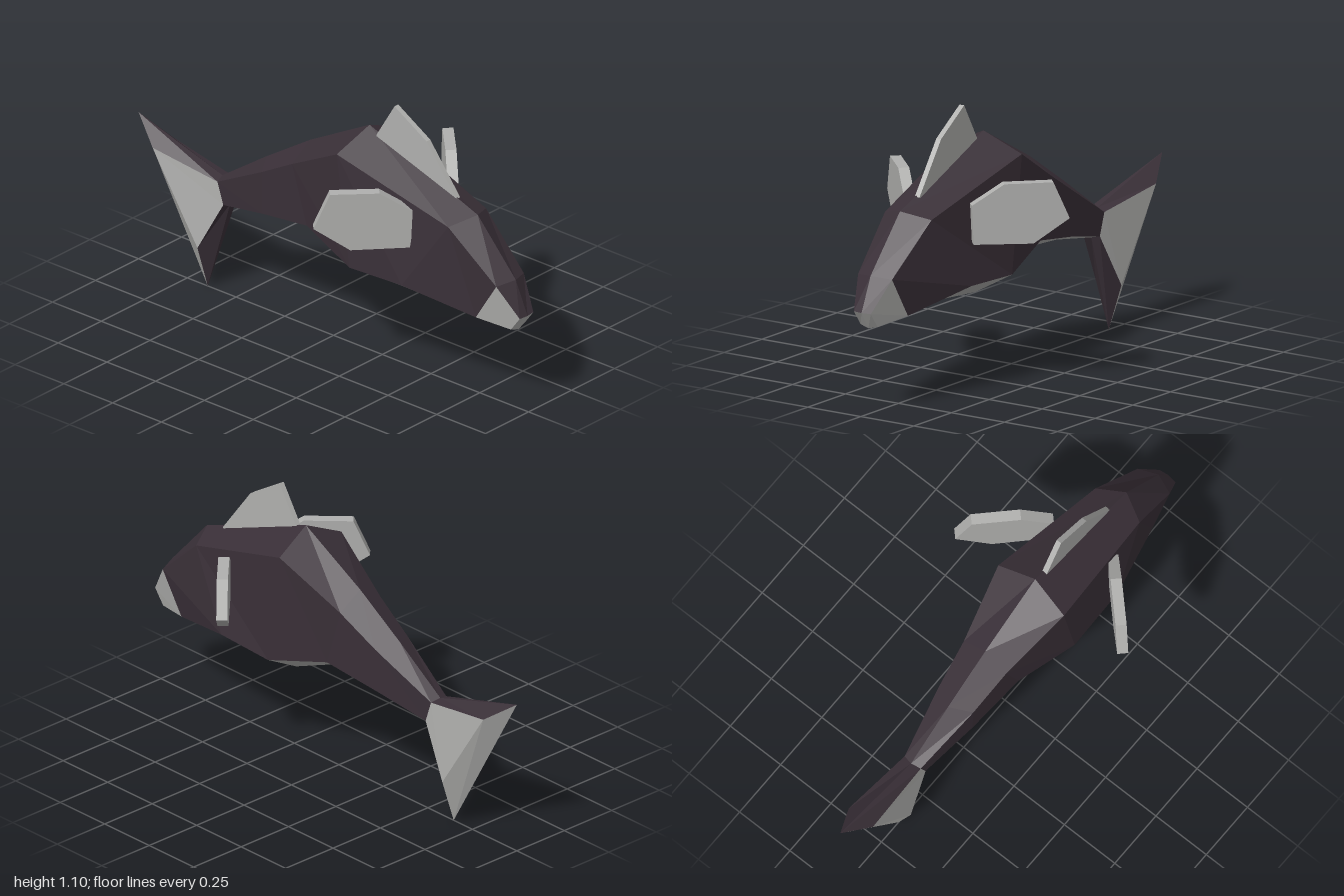
import * as THREE from 'three';

const dark = new THREE.MeshStandardMaterial({ color: 0x3a3038 });
dark.name = 'dark skin';
const grey = new THREE.MeshStandardMaterial({ color: 0xb0b0ae });
grey.name = 'pale grey';
dark.flatShading = grey.flatShading = true;

// Mesh from quads given for the +z half, mirrored onto the -z half
function mirroredMesh(name, quads, material) {
  const pos = [];
  const tri = (a, b, c) => pos.push(...a, ...b, ...c);
  const flip = ([x, y, z]) => [x, y, -z];
  for (const [a, b, c, d] of quads) {
    tri(a, b, c);
    tri(a, c, d);
    const [e, f, g, h] = [d, c, b, a].map(flip);
    tri(e, f, g);
    tri(e, g, h);
  }
  const geo = new THREE.BufferGeometry();
  geo.setAttribute('position', new THREE.Float32BufferAttribute(pos, 3));
  geo.computeVertexNormals();
  const mesh = new THREE.Mesh(geo, material);
  mesh.name = name;
  return mesh;
}

// Flat fin cut from an outline
function fin(name, points, depth) {
  const shape = new THREE.Shape(points.map(([x, y]) => new THREE.Vector2(x, y)));
  const geo = new THREE.ExtrudeGeometry(shape, { depth, bevelEnabled: false });
  const mesh = new THREE.Mesh(geo, grey);
  mesh.name = name;
  return mesh;
}

// Half cross-sections from tail to nose: ridge, upper side, lower side, keel
const sections = [
  [[-0.57, 0.50, 0], [-0.56, 0.49, 0.04], [-0.53, 0.40, 0.04], [-0.53, 0.39, 0]],
  [[-0.345, 0.655, 0], [-0.295, 0.635, 0.085], [-0.295, 0.455, 0.08], [-0.295, 0.43, 0]],
  [[-0.12, 0.80, 0], [-0.12, 0.735, 0.105], [-0.045, 0.495, 0.105], [-0.025, 0.445, 0]],
  [[0.185, 0.965, 0], [0.16, 0.89, 0.163], [0.225, 0.425, 0.163], [0.24, 0.335, 0]],
  [[0.74, 0.76, 0], [0.685, 0.73, 0.11], [0.49, 0.435, 0.16], [0.49, 0.355, 0]],
  [[0.935, 0.545, 0], [0.905, 0.535, 0.08], [0.80, 0.37, 0.08], [0.80, 0.345, 0]],
  [[0.995, 0.41, 0], [0.99, 0.41, 0.04], [0.945, 0.35, 0.04], [0.95, 0.34, 0]],
];

export function createModel() {
  const model = new THREE.Group();
  model.name = 'whale';

  // Body strips, sorted by colour
  const back = [], belly = [], snout = [];
  const last = sections.length - 1;
  for (let i = 0; i < last; i++) {
    for (let k = 0; k < 3; k++) {
      const s = sections[i], t = sections[i + 1];
      const list = k === 2 ? belly : k === 1 && i === last - 1 ? snout : back;
      list.push([s[k], s[k + 1], t[k + 1], t[k]]);
    }
  }
  snout.push(sections[last]);
  model.add(
    mirroredMesh('body', back, dark),
    mirroredMesh('belly', belly, grey),
    mirroredMesh('snout', snout, grey),
  );

  // Upright tail: grey sides and trailing edge, dark leading edges
  const [ridge, upper, lower, keel] = sections[0];
  const topTip = [-1, 0.63, 0], lowTip = [-0.645, 0, 0];
  const topSide = [-0.875, 0.54, 0.06], lowSide = [-0.645, 0.185, 0.06];
  model.add(
    mirroredMesh('tailFin', [
      [topSide, lowSide, lower, upper],
      [topTip, lowTip, lowSide, topSide],
    ], grey),
    mirroredMesh('tailEdges', [
      [topTip, topSide, upper, ridge],
      [lowSide, lowTip, keel, lower],
    ], dark),
  );

  // Dorsal fin, turned very slightly
  const dorsal = fin('dorsalFin',
    [[-0.195, 0.9], [-0.195, 0.945], [-0.105, 1.095], [0.055, 0.995], [0.205, 0.795], [0.17, 0.76]], 0.022);
  dorsal.geometry.translate(0, 0, -0.011);
  dorsal.position.x = 0.43;
  dorsal.rotation.y = 0.03;
  model.add(dorsal);

  // Side fins, swept back at 45 degrees
  const outline = [[0.405, 0.69], [0.36, 0.835], [0.225, 0.835], [0.135, 0.755], [0.14, 0.6], [0.305, 0.595]]
    .map(([z, y]) => [z * Math.SQRT2, y]);
  for (const side of [1, -1]) {
    const flipper = fin(side > 0 ? 'leftFin' : 'rightFin', outline, 0.043);
    flipper.rotation.y = -side * Math.PI * 0.75;
    flipper.position.x = side > 0 ? 0.66 : 0.6;
    model.add(flipper);
  }
  return model;
}
